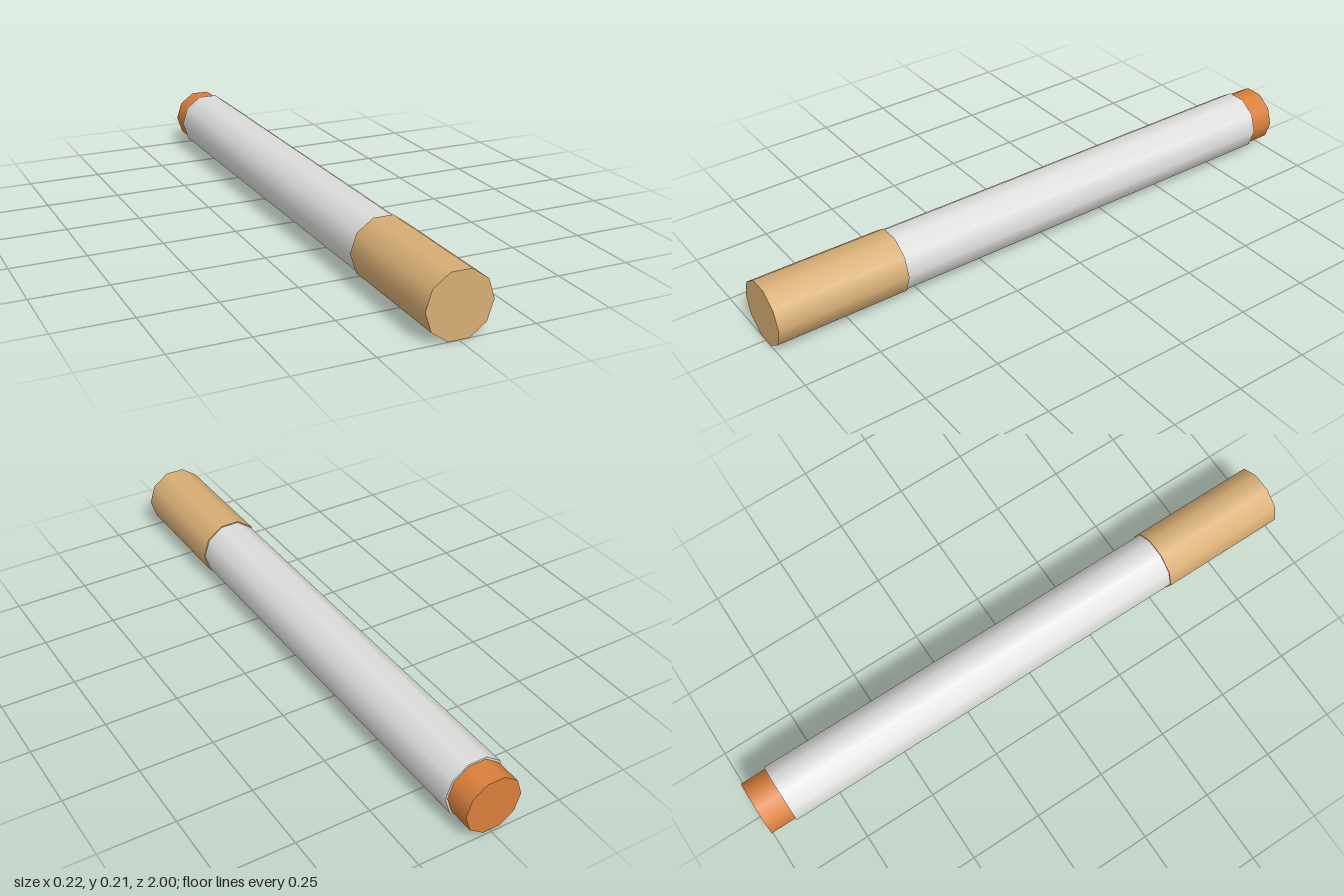
import * as THREE from 'three';

const SIDES = 10;
const AXIS_Y = 0.103;

// Ten-sided rod lying along z, with corners pointing to the sides
function rod(name, radius, zBack, zFront, material) {
  const length = zFront - zBack;
  const geometry = new THREE.CylinderGeometry(radius, radius, length, SIDES, 1, false, Math.PI / SIDES);
  geometry.rotateX(Math.PI / 2);
  const mesh = new THREE.Mesh(geometry, material);
  mesh.name = name;
  mesh.position.set(0, AXIS_Y, (zBack + zFront) / 2);
  return mesh;
}

export function createModel() {
  const tan = new THREE.MeshStandardMaterial({ color: 0xd8ae75 });
  tan.name = 'tan';
  const paper = new THREE.MeshStandardMaterial({ color: 0xdededc });
  paper.name = 'paperWhite';
  const orange = new THREE.MeshStandardMaterial({ color: 0xdb803c });
  orange.name = 'orange';

  const model = new THREE.Group();
  model.name = 'paperRod';
  model.add(
    rod('filter', 0.108, 0.555, 1, tan),
    rod('paperTube', 0.104, -0.912, 0.555, paper),
    rod('emberTip', 0.097, -1, -0.912, orange)
  );
  return model;
}
